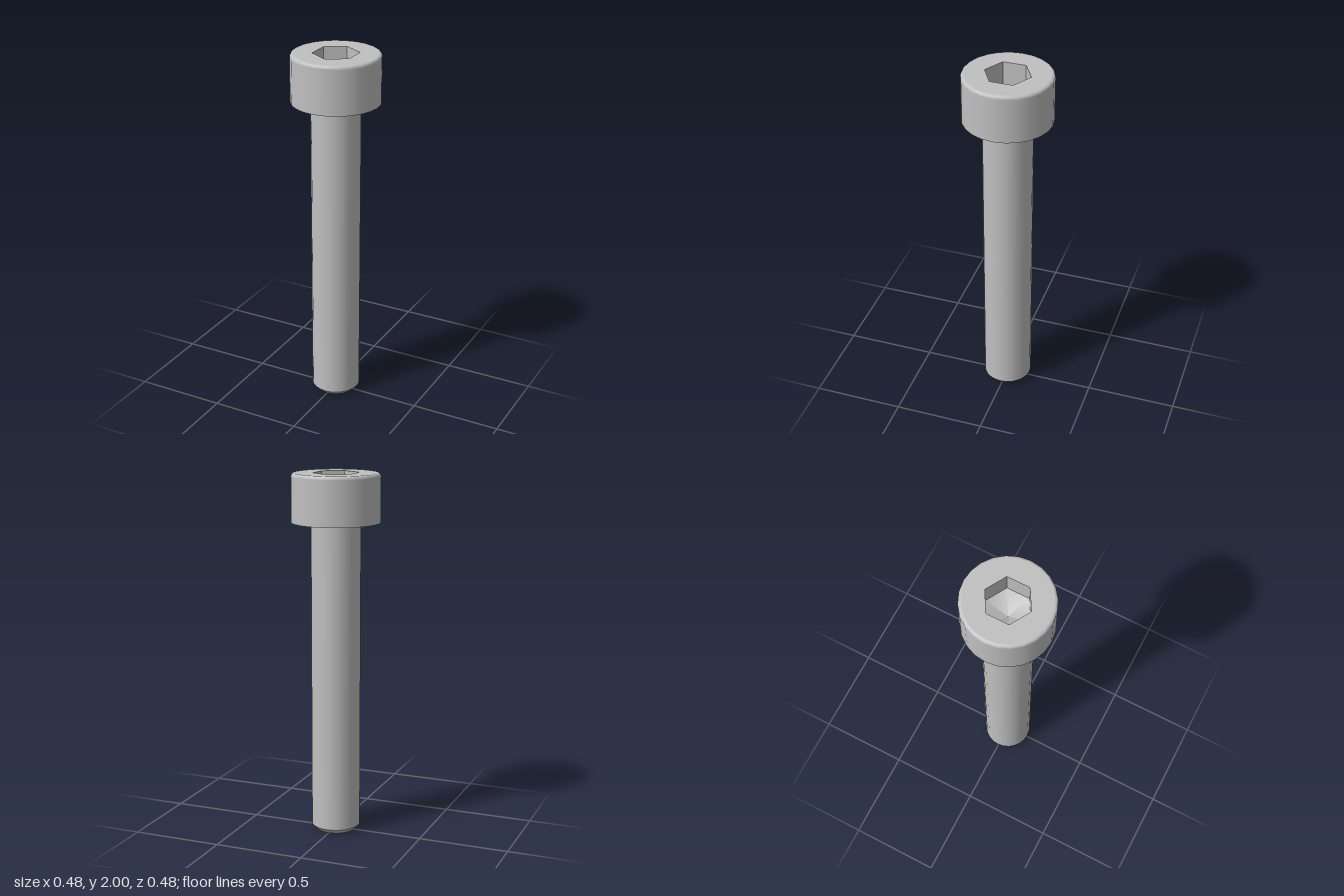
import * as THREE from 'three';

const SIDES = 24;
const HEAD_R = 0.242, HEAD_Y = 1.735, TOP = 2, FILLET = 0.017;
const SHANK_R = 0.135, TIP_R = 0.108, CHAMFER = 0.028;
const HEX_R = 0.125, SOCKET_Y = 1.865, CONE_Y = 1.8;

// Corner points of a regular polygon, first corner on the vertical axis
const polygon = (radius, sides) => Array.from({ length: sides }, (_, i) => {
  const a = (i / sides) * Math.PI * 2;
  return new THREE.Vector2(Math.sin(a) * radius, Math.cos(a) * radius);
});

export function createModel() {
  const group = new THREE.Group();
  const steel = new THREE.MeshStandardMaterial({ color: 0xc0c0c0 });
  steel.name = 'steel';

  const add = (name, geometry) => {
    const mesh = new THREE.Mesh(geometry, steel);
    mesh.name = name;
    group.add(mesh);
  };
  // Each band is turned separately so the edges between bands stay sharp
  const turn = (name, points, sides = SIDES) =>
    add(name, new THREE.LatheGeometry(points.map(([r, y]) => new THREE.Vector2(r, y)), sides));

  // Shank with chamfered tip
  turn('tipFace', [[0, 0], [TIP_R, 0]]);
  turn('tipChamfer', [[TIP_R, 0], [SHANK_R, CHAMFER]]);
  turn('shank', [[SHANK_R, CHAMFER], [SHANK_R, HEAD_Y]]);

  // Head with rounded upper edge
  turn('headUnderside', [[SHANK_R, HEAD_Y], [HEAD_R, HEAD_Y]]);
  turn('headSide', [[HEAD_R, HEAD_Y], [HEAD_R, TOP - FILLET]]);
  const arc = Array.from({ length: 6 }, (_, i) => {
    const a = (i / 5) * Math.PI / 2;
    return [HEAD_R - FILLET + Math.cos(a) * FILLET, TOP - FILLET + Math.sin(a) * FILLET];
  });
  turn('headFillet', arc);

  // Top face with hexagonal opening
  const face = new THREE.Shape(polygon(HEAD_R - FILLET, SIDES));
  face.holes.push(new THREE.Path(polygon(HEX_R, 6)));
  add('headTop', new THREE.ShapeGeometry(face).rotateX(-Math.PI / 2).translate(0, TOP, 0));

  // Socket walls, mirrored so that they face inward
  const walls = new THREE.CylinderGeometry(HEX_R, HEX_R, TOP - SOCKET_Y, 6, 1, true)
    .toNonIndexed().scale(-1, 1, 1).translate(0, (TOP + SOCKET_Y) / 2, 0);
  walls.computeVertexNormals();
  add('socketWalls', walls);

  // Conical socket floor
  turn('socketFloor', [[HEX_R, SOCKET_Y], [0, CONE_Y]], 6);

  return group;
}
